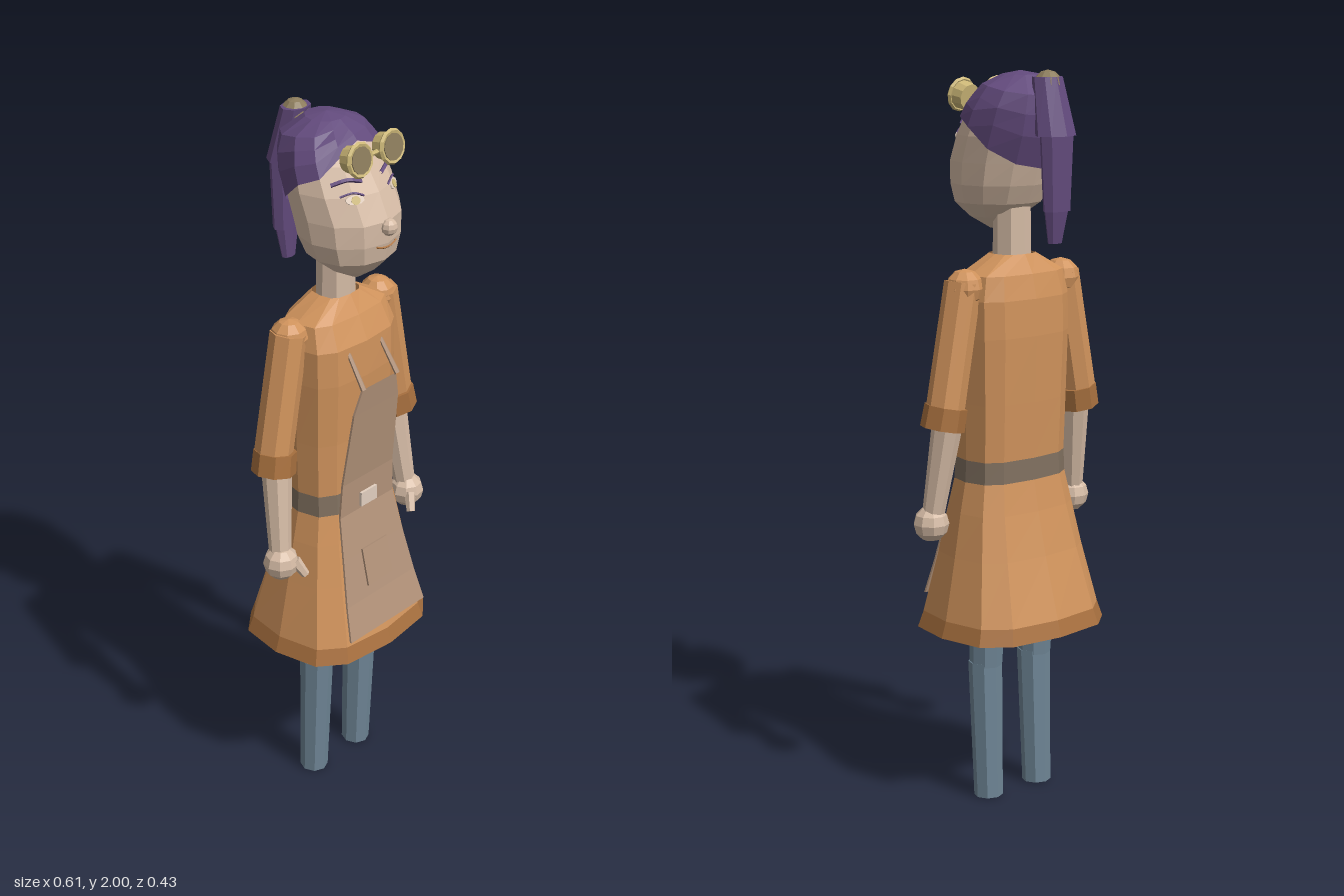
import * as THREE from 'three';

const mat = (name, color, double) => {
  const m = new THREE.MeshStandardMaterial({ color });
  m.name = name;
  if (double) m.side = THREE.DoubleSide;
  return m;
};
const V = (x, y, z) => new THREE.Vector3(x, y, z);

export function createModel() {
  const M = {
    skin: mat('skin', 0xd6bca6), dress: mat('dress orange', 0xd0935c, true), trim: mat('trim brown', 0xa9713f, true),
    apron: mat('apron tan', 0xb3937a, true), hair: mat('hair purple', 0x624a7c, true), leg: mat('legging slate', 0x6f8696),
    brass: mat('brass', 0xcdb878), belt: mat('belt grey', 0x80705f, true), pale: mat('pale', 0xe2cfbf), lens: mat('lens olive', 0x8c7c5c),
  };
  const root = new THREE.Group();
  root.name = 'figure';

  // Faceted mesh
  const add = (name, geo, material, pos) => {
    const g = geo.index ? geo.toNonIndexed() : geo;
    g.computeVertexNormals();
    const mesh = new THREE.Mesh(g, material);
    mesh.name = name;
    if (pos) mesh.position.copy(pos);
    root.add(mesh);
    return mesh;
  };
  // Skin over closed rings, listed bottom to top
  const loft = (rings) => {
    const n = rings[0].length, idx = [];
    for (let i = 0; i < rings.length - 1; i++) for (let j = 0; j < n; j++) {
      const k = (j + 1) % n, a = i * n + j, b = i * n + k;
      idx.push(a, b, b + n, a, b + n, a + n);
    }
    const g = new THREE.BufferGeometry().setFromPoints(rings.flat());
    g.setIndex(idx);
    return g;
  };
  // Tapered cylinder between two points
  const limb = (name, p, q, r0, r1, material, sides = 8) => {
    const d = q.clone().sub(p);
    const m = add(name, new THREE.CylinderGeometry(r1, r0, d.length(), sides), material, p.clone().lerp(q, 0.5));
    m.quaternion.setFromUnitVectors(V(0, 1, 0), d.normalize());
    return m;
  };
  const ball = (name, p, r, material, sx = 1, sy = 1, sz = 1) => {
    const m = add(name, new THREE.SphereGeometry(r, 9, 6), material, p);
    m.scale.set(sx, sy, sz);
    return m;
  };
  // Oval ring from [y, half width, front z, back z]; pow < 1 squares it off
  const oval = ([y, hx, zf, zb], pow = 1, n = 12) => Array.from({ length: n }, (_, j) => {
    const a = j / n * Math.PI * 2, s = Math.sin(a), c = Math.cos(a);
    const f = (v) => Math.sign(v) * Math.abs(v) ** pow;
    return V(hx * f(s), y, (zf + zb) / 2 + (zf - zb) / 2 * f(c));
  });

  // Dress, cut into hem, skirt, belt and bodice
  const dress = [
    [0.485, 0.25, 0.213, -0.198], [0.53, 0.235, 0.2, -0.185], [0.7, 0.2, 0.155, -0.135], [0.82, 0.178, 0.128, -0.105],
    [0.905, 0.16, 0.112, -0.088], [0.965, 0.157, 0.108, -0.086], [1.12, 0.16, 0.11, -0.092], [1.3, 0.165, 0.118, -0.098],
    [1.4, 0.165, 0.115, -0.095], [1.465, 0.15, 0.085, -0.08], [1.515, 0.06, 0.055, -0.05],
  ].map((r) => oval(r, 0.667));
  add('hem', loft(dress.slice(0, 2)), M.trim);
  add('skirt', loft(dress.slice(1, 5)), M.dress);
  add('belt', loft(dress.slice(4, 6)), M.belt);
  add('bodice', loft(dress.slice(5)), M.dress);

  // Apron: a thin bent sheet
  const apron = [[0.555, 0.152, 0.201], [0.65, 0.138, 0.174], [0.78, 0.12, 0.144], [0.9, 0.106, 0.118],
    [1.0, 0.1, 0.121], [1.22, 0.087, 0.149], [1.29, 0.066, 0.159]];
  const sheet = loft(apron.map(([y, w, z]) => [V(-w, y, z), V(w, y, z), V(w, y, z - 0.006), V(-w, y, z - 0.006)]));
  add('apron', sheet, M.apron);
  add('pocket', new THREE.BoxGeometry(0.1, 0.11, 0.006), M.apron, V(0, 0.735, 0.158)).rotation.x = -0.22;
  add('buckle', new THREE.BoxGeometry(0.062, 0.042, 0.008), M.pale, V(0, 0.93, 0.123));

  // Head
  const headRows = [
    [1.575, 0.012, 0.085, 0.06], [1.61, 0.075, 0.135, 0], [1.65, 0.122, 0.172, -0.06], [1.7, 0.138, 0.182, -0.085],
    [1.76, 0.143, 0.183, -0.105], [1.83, 0.145, 0.15, -0.125], [1.9, 0.135, 0.105, -0.13], [1.95, 0.105, 0.06, -0.12],
    [1.98, 0.03, 0, -0.06], [1.981, 0, -0.03, -0.03],
  ];
  const headAt = (y) => {
    let i = 0;
    while (i < headRows.length - 2 && headRows[i + 1][0] < y) i++;
    const a = headRows[i], b = headRows[i + 1], t = (y - a[0]) / (b[0] - a[0]);
    return a.map((v, k) => v + (b[k] - v) * t);
  };
  const faceZ = (x, y) => {
    const [, hx, zf, zb] = headAt(y);
    return (zf + zb) / 2 + (zf - zb) / 2 * Math.sqrt(1 - (x / hx) ** 2);
  };
  add('head', loft([oval([1.574, 0, 0.073, 0.073]), ...headRows.map((r) => oval(r))]), M.skin);
  limb('neck', V(0, 1.49, 0.003), V(0, 1.65, 0.003), 0.052, 0.05, M.skin);
  ball('nose', V(0, 1.745, 0.184), 0.023, M.skin);
  const smile = new THREE.QuadraticBezierCurve3(V(-0.036, 1.697, faceZ(0.036, 1.697)), V(0, 1.683, 0.186), V(0.036, 1.697, faceZ(0.036, 1.697)));
  add('mouth', new THREE.TubeGeometry(smile, 8, 0.003, 4), M.trim);

  // Hair cap: the head shape enlarged above a hairline that drops to the back
  const cap = [];
  for (let i = 0; i < 5; i++) {
    cap.push(Array.from({ length: 12 }, (_, j) => {
      const c = Math.cos(j / 12 * Math.PI * 2);
      const low = c > 0 ? 1.85 + 0.09 * c ** 2 : 1.85 + 0.11 * c;
      const y = low + (1.972 - low) * (i / 4) ** 0.8;
      const p = oval(headAt(y))[j];
      return V(p.x * 1.06, y + 0.006 + 0.01 * i / 4, -0.03 + (p.z + 0.03) * (c < 0 ? 1.25 : 1.06));
    }));
  }
  cap.push(Array.from({ length: 12 }, () => V(0, 1.998, -0.03)));
  add('hairCap', loft(cap), M.hair);

  // Ponytail in three overlapping lengths
  const tail = [
    [[1.985, 0.045, -0.1, -0.17], [1.835, 0.062, -0.125, -0.212]],
    [[1.85, 0.054, -0.138, -0.205], [1.64, 0.043, -0.146, -0.2]],
    [[1.65, 0.04, -0.147, -0.196], [1.555, 0.022, -0.152, -0.18]],
  ];
  for (const [t, b] of tail) {
    const mid = (r) => [r[0], 0, (r[2] + r[3]) / 2, (r[2] + r[3]) / 2];
    add('ponytail', loft([mid(b), b, t, mid(t)].map((r) => oval(r, 1, 8))), M.hair);
  }
  ball('hairTie', V(0, 1.965, -0.137), 0.038, M.lens);

  // Goggle bridge
  limb('goggleBridge', V(-0.02, 1.925, 0.125), V(0.02, 1.925, 0.125), 0.006, 0.006, M.brass, 6);

  for (const s of [-1, 1]) {
    // Goggles
    const rim = new THREE.Group();
    rim.name = 'goggle';
    rim.position.set(s * 0.06, 1.927, 0.122);
    rim.rotation.x = -0.17;
    root.add(rim);
    const cup = add('goggleCup', new THREE.CylinderGeometry(0.04, 0.034, 0.042, 12), M.brass);
    const ring = add('goggleRim', new THREE.TorusGeometry(0.04, 0.007, 5, 12), M.brass, V(0, 0, 0.017));
    const lens = add('goggleLens', new THREE.CylinderGeometry(0.035, 0.035, 0.006, 12), M.lens, V(0, 0, 0.021));
    cup.rotation.x = lens.rotation.x = Math.PI / 2;
    rim.add(cup, ring, lens);

    // Eye and brow
    const eye = (name, r, off, sy, material) => {
      const m = add(name, new THREE.CylinderGeometry(r, r, 0.004, 10).rotateX(Math.PI / 2), material,
        V(s * 0.072, 1.826, faceZ(0.072, 1.826) + off));
      m.rotation.set(-0.45, s * 0.5, 0, 'YXZ');
      m.scale.y = sy;
    };
    eye('eye', 0.025, 0, 0.5, M.pale);
    eye('iris', 0.012, 0.003, 0.95, M.brass);
    const lid = [0.045, 0.072, 0.1].map((x, i) => V(s * x, [1.832, 1.843, 1.834][i], faceZ(x, 1.838) + 0.001));
    add('eyelid', new THREE.TubeGeometry(new THREE.CatmullRomCurve3(lid), 6, 0.003, 4), M.hair);
    const brow = [0.036, 0.072, 0.106].map((x, i) => V(s * x, [1.862, 1.872, 1.86][i], faceZ(x, 1.866)));
    add('eyebrow', new THREE.TubeGeometry(new THREE.CatmullRomCurve3(brow), 6, 0.006, 4), M.hair);

    // Apron strap
    limb('strap', V(s * 0.066, 1.295, 0.163), V(s * 0.062, 1.385, 0.103), 0.008, 0.006, M.apron, 5);

    // Arm
    ball('shoulder', V(s * 0.172, 1.435, -0.003), 0.052, M.dress);
    limb('sleeve', V(s * 0.242, 1.1, 0), V(s * 0.175, 1.45, 0), 0.052, 0.05, M.dress);
    limb('cuff', V(s * 0.245, 1.065, 0.005), V(s * 0.234, 1.125, 0.002), 0.06, 0.058, M.trim);
    limb('forearm', V(s * 0.254, 0.83, 0.034), V(s * 0.229, 1.09, 0), 0.03, 0.042, M.skin);
    ball('hand', V(s * 0.257, 0.802, 0.04), 0.049, M.skin);
    limb('thumb', V(s * 0.217, 0.765, 0.092), V(s * 0.237, 0.81, 0.07), 0.012, 0.017, M.skin, 6);

    // Leg
    limb('thigh', V(s * 0.09, 0.38, 0.01), V(s * 0.09, 0.62, 0), 0.045, 0.052, M.leg);
    limb('shin', V(s * 0.09, 0, 0), V(s * 0.09, 0.388, 0.013), 0.04, 0.047, M.leg);
  }
  return root;
}
